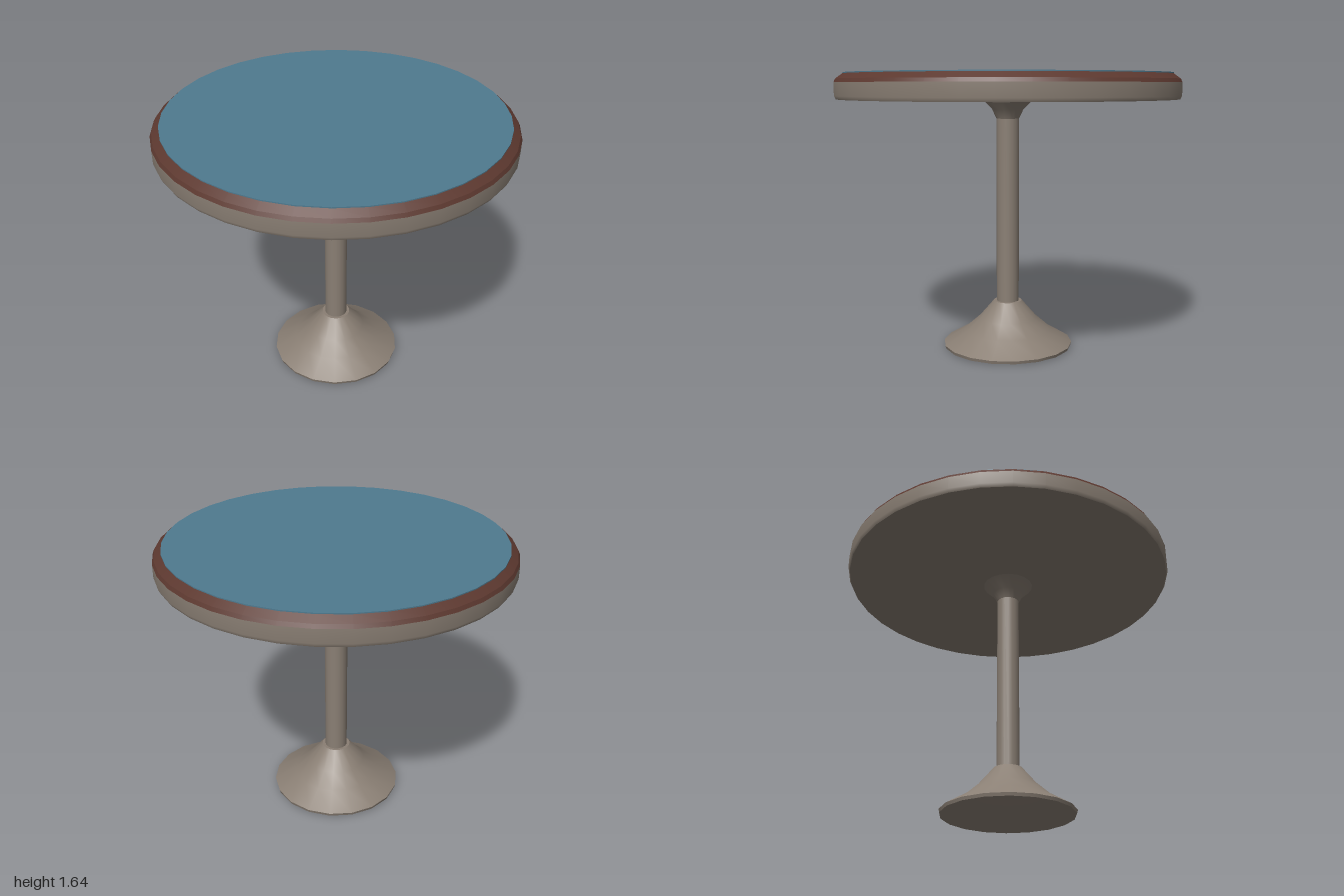
import * as THREE from 'three';

const taupe = new THREE.MeshStandardMaterial({ color: 0x8a7f74 });
taupe.name = 'taupe metal';
const brown = new THREE.MeshStandardMaterial({ color: 0x5c382f });
brown.name = 'rust brown';
const blue = new THREE.MeshStandardMaterial({ color: 0x4f7a8f });
blue.name = 'blue laminate';

// Revolved part; each profile is one smooth band, so edges between bands stay sharp
function turned(name, material, sides, profiles, start = 0, sweep = Math.PI * 2) {
  const group = new THREE.Group();
  group.name = name;
  profiles.forEach((profile, i) => {
    const points = profile.map(([r, y]) => new THREE.Vector2(r, y));
    const mesh = new THREE.Mesh(new THREE.LatheGeometry(points, sides, start, sweep), material);
    mesh.name = `${name}Band${i + 1}`;
    group.add(mesh);
  });
  return group;
}

export function createModel() {
  const table = new THREE.Group();
  table.name = 'pedestalTable';

  // Flared foot with a hollow underside
  const quarter = Math.PI / 2;
  const hollow = [[0, 0.2], [0.08, 0.2], [0.17, 0.14], [0.26, 0.075], [0.385, 0]];
  table.add(turned('foot', taupe, 18, [
    [[0.385, 0], [0.39, 0.018]],
    [[0.39, 0.018], [0.26, 0.095], [0.175, 0.17], [0.085, 0.275]],
    [[0.085, 0.275], [0.06, 0.275]],
    hollow,
  ], quarter));

  // Rust patch inside the foot
  const patch = hollow.slice(1).map(([r, y]) => [r, y - 0.004]);
  table.add(turned('rustPatch', brown, 3, [patch],
    THREE.MathUtils.degToRad(240), THREE.MathUtils.degToRad(48)));

  // Column and the flare that carries the top
  table.add(turned('column', taupe, 18, [[[0.067, 0.27], [0.067, 1.375]]], quarter));
  table.add(turned('columnFlare', taupe, 18,
    [[[0.067, 1.375], [0.093, 1.43], [0.155, 1.492]]], quarter));

  // Round top: underside, apron, bevelled rim and inlaid surface
  table.add(turned('apron', taupe, 36, [
    [[0, 1.49], [0.99, 1.49]],
    [[0.99, 1.49], [1, 1.51], [1, 1.585]],
  ]));
  table.add(turned('rim', brown, 36, [
    [[1, 1.585], [0.99, 1.605]],
    [[0.99, 1.605], [0.95, 1.634]],
  ]));
  table.add(turned('tabletop', blue, 36, [
    [[0.95, 1.634], [0.95, 1.64]],
    [[0.95, 1.64], [0, 1.64]],
  ]));

  return table;
}
